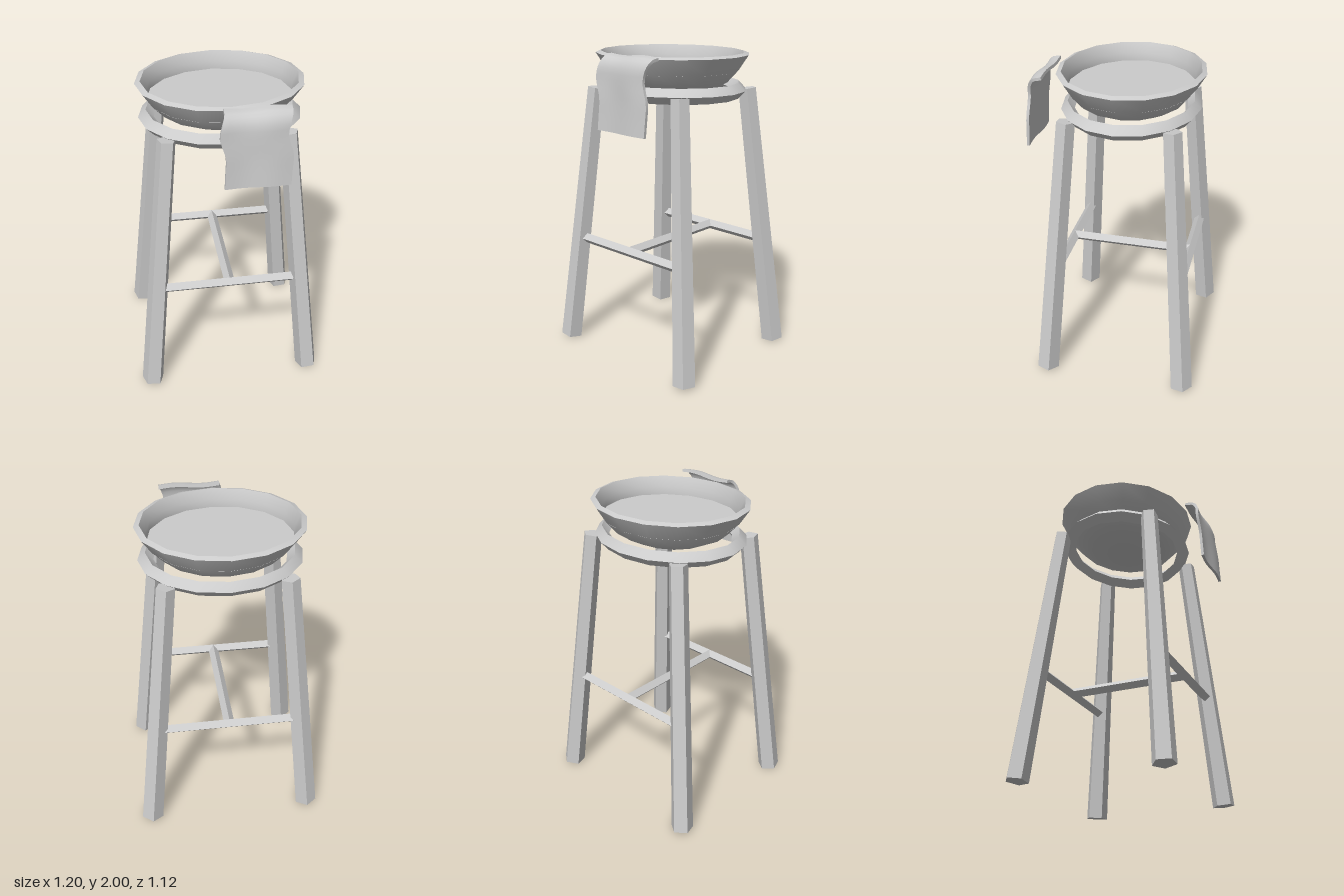
import * as THREE from 'three';
import { toCreasedNormals } from 'three/addons/utils/BufferGeometryUtils.js';

const CZ = -0.03; // stool centre along z, the towel hangs in front of it

export function createModel() {
  const model = new THREE.Group();
  model.name = 'washbasinStand';
  const grey = new THREE.MeshStandardMaterial({ name: 'lightGrey', color: 0xcccccc });

  const add = (name, geometry, crease = 0.6) => {
    const mesh = new THREE.Mesh(toCreasedNormals(geometry, crease), grey);
    mesh.name = name;
    model.add(mesh);
    return mesh;
  };

  // Splayed five-sided legs
  const up = new THREE.Vector3(0, 1, 0);
  for (const sx of [-1, 1]) {
    for (const sz of [-1, 1]) {
      const foot = new THREE.Vector3(sx * 0.532, 0.012, CZ + sz * 0.457);
      const top = new THREE.Vector3(sx * 0.361, 1.75, CZ + sz * 0.317);
      const axis = top.clone().sub(foot);
      const leg = add((sz > 0 ? 'front' : 'back') + (sx > 0 ? 'Left' : 'Right') + 'Leg',
        new THREE.CylinderGeometry(0.058, 0.073, axis.length(), 5, 1, false, Math.PI));
      leg.position.copy(foot).add(top).multiplyScalar(0.5);
      leg.quaternion.setFromUnitVectors(up, axis.normalize());
    }
  }

  // H-shaped stretchers with a diamond section
  const bar = (length) => new THREE.CylinderGeometry(0.034, 0.034, length, 4);
  for (const sz of [-1, 1]) {
    add(sz > 0 ? 'frontStretcher' : 'backStretcher', bar(0.88).rotateZ(Math.PI / 2))
      .position.set(0, 0.737, CZ + sz * 0.4);
  }
  add('middleStretcher', bar(0.8).rotateX(Math.PI / 2)).position.set(0, 0.737, CZ);

  // Support ring with a diamond section
  add('supportRing', new THREE.TorusGeometry(0.455, 0.048, 4, 16)
    .rotateX(Math.PI / 2).scale(1, 1, 0.853)).position.set(0, 1.752, CZ);

  // Oval basin: rounded underside, flared rim, stepped flat floor
  const profile = [
    [0, 1.71], [0.14, 1.718], [0.27, 1.748], [0.377, 1.8], [0.452, 1.88],
    [0.514, 1.972], [0.48, 1.984], [0.447, 1.92], [0.444, 1.87], [0, 1.87],
  ].map(([r, y]) => new THREE.Vector2(r, y));
  add('basin', new THREE.LatheGeometry(profile, 16).scale(1, 1, 0.883)).position.z = CZ;

  // Towel: a thin slab bent along a drooping curve, with soft folds across it
  const drape = new THREE.CatmullRomCurve3([
    [0.137, 1.988, 0.435], [0.135, 1.975, 0.488], [0.118, 1.93, 0.518], [0.105, 1.855, 0.526],
    [0.138, 1.74, 0.533], [0.135, 1.65, 0.538], [0.13, 1.548, 0.545],
  ].map((p) => new THREE.Vector3(...p)));
  const towel = new THREE.BoxGeometry(0.385, 1, 0.018, 10, 14, 1);
  const pos = towel.attributes.position;
  for (let i = 0; i < pos.count; i++) {
    const x = pos.getX(i), depth = pos.getZ(i), t = 0.5 - pos.getY(i);
    const c = drape.getPoint(t), d = drape.getTangent(t);
    const len = Math.hypot(d.y, d.z);
    const offset = depth + 0.006 * Math.sin(x * 18);
    pos.setXYZ(i, c.x + x, c.y + (d.z / len) * offset, c.z - (d.y / len) * offset);
  }
  add('towel', towel, 0.9);

  return model;
}
